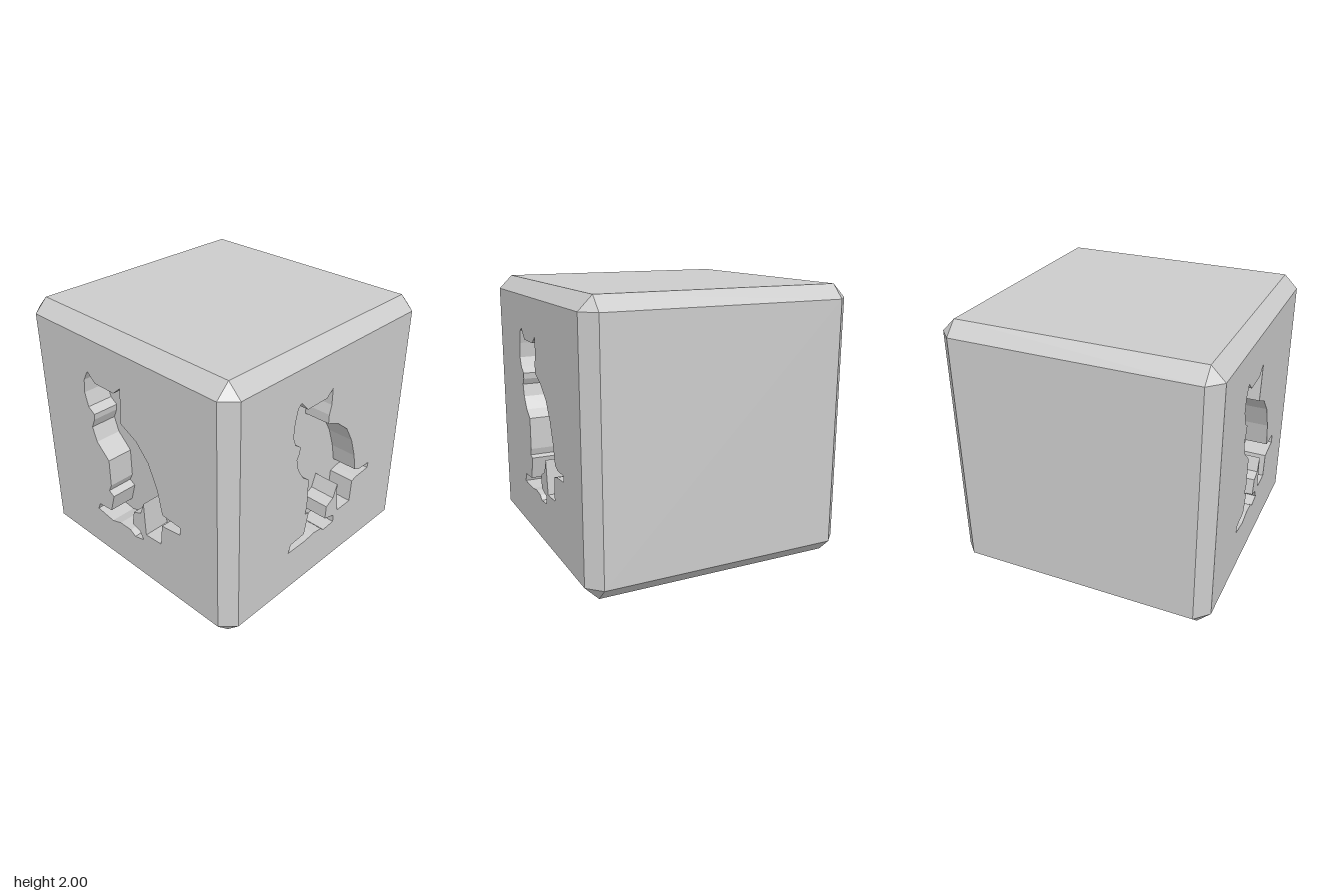
import * as THREE from 'three';

const HALF = 1, FLAT = 0.9, DEPTH = 0.2;
const material = new THREE.MeshStandardMaterial({ color: 0xcccccc, flatShading: true });

// Seated cat outlines, counter-clockwise from the left ear tip (x, y pairs, y from the ground)
const frontCat = [
  -0.345, 1.64, -0.39, 1.56, -0.4, 1.455, -0.37, 1.35, -0.31, 1.31, -0.315, 1.265, -0.35, 1.19,
  -0.31, 1.08, -0.19, 0.97, -0.19, 0.75, -0.22, 0.69, -0.17, 0.66, -0.215, 0.51, -0.355, 0.495,
  -0.38, 0.44, -0.21, 0.415, -0.115, 0.445, 0, 0.445, 0.05, 0.41, 0.145, 0.435, 0.11, 0.5,
  0.03, 0.52, 0.055, 0.64, 0.13, 0.67, 0.17, 0.775, 0.18, 0.5, 0.34, 0.51, 0.36, 0.685,
  0.545, 0.71, 0.545, 0.775, 0.37, 0.785, 0.33, 0.975, 0.25, 1.16, 0.135, 1.285, -0.02, 1.36,
  0.005, 1.64, -0.07, 1.575, -0.27, 1.575,
];
const sideCat = [
  -0.33, 1.65, -0.36, 1.625, -0.385, 1.53, -0.395, 1.42, -0.37, 1.35, -0.315, 1.31, -0.32, 1.265,
  -0.345, 1.22, -0.325, 1.13, -0.27, 1.04, -0.2, 0.985, -0.2, 0.745, -0.215, 0.695, -0.175, 0.68,
  -0.215, 0.51, -0.36, 0.5, -0.385, 0.435, -0.195, 0.435, -0.095, 0.45, -0.01, 0.44, 0.025, 0.41,
  0.14, 0.42, 0.14, 0.48, 0.035, 0.51, 0.04, 0.615, 0.115, 0.655, 0.155, 0.76, 0.185, 0.505,
  0.335, 0.51, 0.345, 0.69, 0.4, 0.705, 0.54, 0.715, 0.545, 0.76, 0.42, 0.76, 0.37, 0.785,
  0.34, 0.925, 0.285, 1.085, 0.21, 1.215, 0.095, 1.31, -0.02, 1.36, -0.02, 1.43, 0, 1.5,
  0, 1.625, -0.06, 1.575, -0.26, 1.575,
];

function toPoints(flat) {
  const points = [];
  for (let i = 0; i < flat.length; i += 2) points.push(new THREE.Vector2(flat[i], flat[i + 1] - 1));
  return points;
}

function addMesh(parent, name, geometry, z = 0) {
  const mesh = new THREE.Mesh(geometry, material);
  mesh.name = name;
  mesh.position.z = z;
  parent.add(mesh);
}

function fromTriangles(positions) {
  const geometry = new THREE.BufferGeometry();
  geometry.setAttribute('position', new THREE.Float32BufferAttribute(positions, 3));
  geometry.computeVertexNormals();
  return geometry;
}

// Walls running from the face back to the recess floor, facing inwards
function recessWalls(points) {
  const positions = [];
  points.forEach((a, i) => {
    const b = points[(i + 1) % points.length];
    positions.push(a.x, a.y, 0, b.x, b.y, 0, b.x, b.y, -DEPTH);
    positions.push(a.x, a.y, 0, b.x, b.y, -DEPTH, a.x, a.y, -DEPTH);
  });
  return fromTriangles(positions);
}

// One flat side of the cube, with a sunken cat if an outline is given
function makeSide(name, rx, ry, outline) {
  const side = new THREE.Group();
  side.name = name;
  side.rotation.set(rx, ry, 0);
  const square = new THREE.Shape([[-1, -1], [1, -1], [1, 1], [-1, 1]]
    .map(([x, y]) => new THREE.Vector2(x * FLAT, y * FLAT)));
  if (outline) {
    const points = toPoints(outline);
    square.holes.push(new THREE.Path(points));
    addMesh(side, 'catRecessWalls', recessWalls(points), HALF);
    addMesh(side, 'catRecessFloor', new THREE.ShapeGeometry(new THREE.Shape(points)), HALF - DEPTH);
  }
  addMesh(side, 'panel', new THREE.ShapeGeometry(square), HALF);
  return side;
}

// Chamfered edges and the small triangles at the corners
function chamferGeometry() {
  const positions = [];
  const addTriangle = (a, b, c) => {
    const normal = b.clone().sub(a).cross(c.clone().sub(a));
    const order = normal.dot(a) > 0 ? [a, b, c] : [a, c, b];
    order.forEach((p) => positions.push(p.x, p.y, p.z));
  };
  // Corner point lying on the cube side that is square to the given axis
  const corner = (signs, axis) =>
    new THREE.Vector3(...signs.map((s, i) => s * (i === axis ? HALF : FLAT)));
  for (const sx of [-1, 1]) for (const sy of [-1, 1]) for (const sz of [-1, 1]) {
    const signs = [sx, sy, sz];
    addTriangle(corner(signs, 0), corner(signs, 1), corner(signs, 2));
    for (let axis = 0; axis < 3; axis++) {
      if (signs[axis] < 0) continue;
      const far = signs.map((s, i) => (i === axis ? -s : s));
      const u = (axis + 1) % 3, v = (axis + 2) % 3;
      addTriangle(corner(signs, u), corner(signs, v), corner(far, v));
      addTriangle(corner(signs, u), corner(far, v), corner(far, u));
    }
  }
  return fromTriangles(positions);
}

export function createModel() {
  const cube = new THREE.Group();
  cube.name = 'chamferedCube';
  const q = Math.PI / 2;
  cube.add(
    makeSide('frontSide', 0, 0, frontCat),
    makeSide('leftSide', 0, q, sideCat),
    makeSide('backSide', 0, 2 * q),
    makeSide('rightSide', 0, -q),
    makeSide('topSide', -q, 0),
    makeSide('bottomSide', q, 0),
  );
  addMesh(cube, 'chamfers', chamferGeometry());
  cube.position.y = HALF;
  const model = new THREE.Group();
  model.name = 'catCube';
  model.add(cube);
  return model;
}
